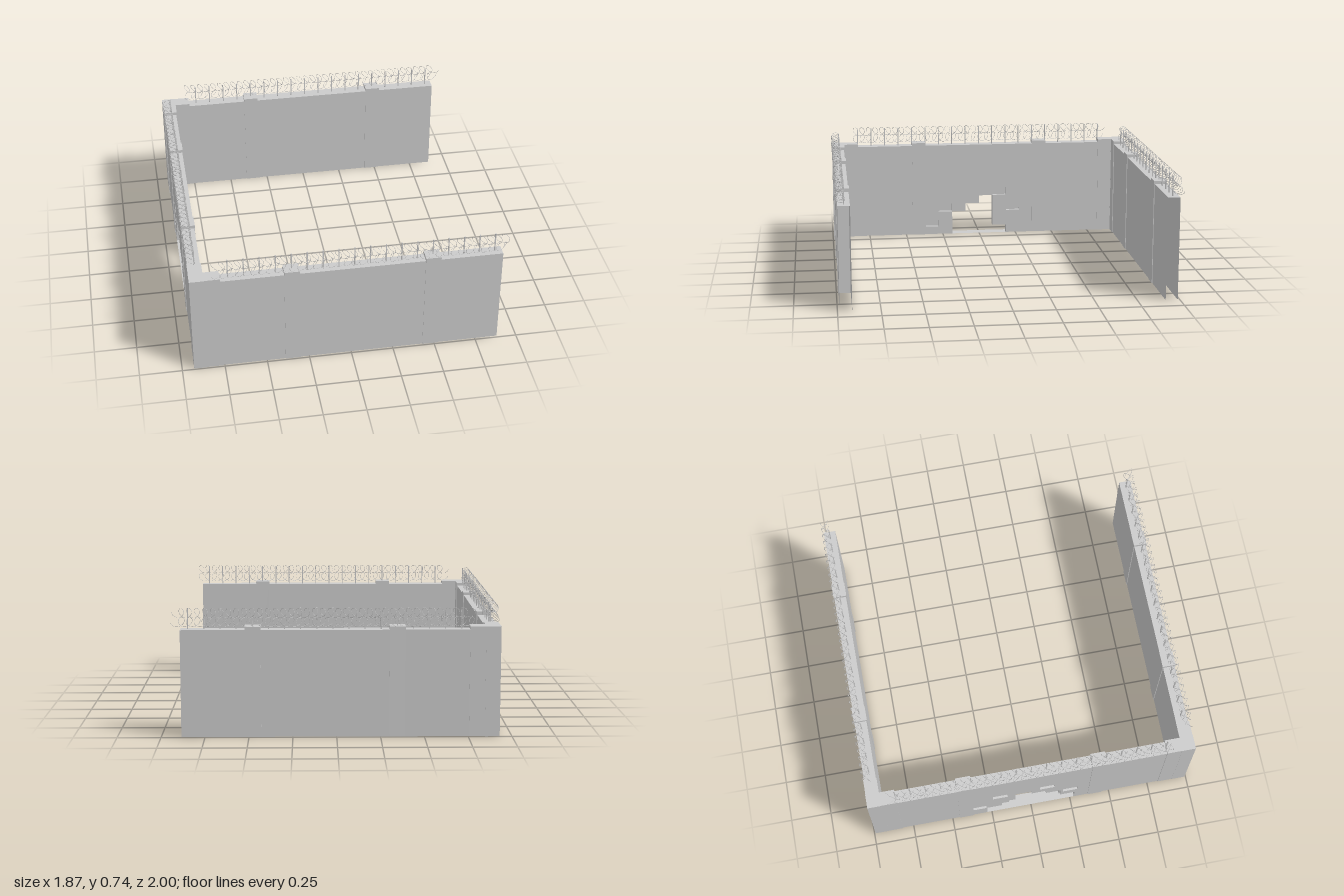
import * as THREE from 'three';

const mat = new THREE.MeshStandardMaterial({ color: 0xcccccc, side: THREE.DoubleSide });
const H = 0.617, CAP = 0.636;          // wall and pillar heights
const IN = -0.85, MID = -0.89, OUT = -0.925; // planes of the end wall

function add(parent, name, geo) {
  const m = new THREE.Mesh(geo, mat);
  m.name = name;
  parent.add(m);
  return m;
}

// Box standing on the ground, without the listed faces (0 +x, 1 -x, 2 top, 3 bottom, 4 +z, 5 -z)
function shell(x0, x1, h, z0, z1, drop = [3]) {
  const g = new THREE.BoxGeometry(x1 - x0, h, z1 - z0);
  const idx = Array.from(g.index.array).filter((_, i) => !drop.includes(Math.floor(i / 6)));
  g.setIndex(idx);
  g.clearGroups();
  return g.translate((x0 + x1) / 2, h / 2, (z0 + z1) / 2);
}

const path = (pts, C = THREE.Path) => new C(pts.map(p => new THREE.Vector2(...p)));
const brick = ([z, y]) => [[z, y], [z + 0.092, y], [z + 0.092, y + 0.053], [z, y + 0.053]];

// Flat sheet drawn in (z, y) and placed at x
function sheet(shape, x) {
  return new THREE.ShapeGeometry(shape).rotateY(-Math.PI / 2).translate(x, 0, 0);
}

// Lining of a hole: a closed (z, y) outline stretched from x0 to x1
function lining(pts, x0, x1) {
  const pos = [];
  pts.forEach(([z, y], i) => {
    const [w, v] = pts[(i + 1) % pts.length];
    pos.push(x0, y, z, x1, y, z, x1, v, w, x0, y, z, x1, v, w, x0, v, w);
  });
  const g = new THREE.BufferGeometry();
  g.setAttribute('position', new THREE.Float32BufferAttribute(pos, 3));
  g.computeVertexNormals();
  return g;
}

// One face of the broken wall with its stepped gap and missing bricks
function brokenFace(parent, name, gap, bricks, x, depthX) {
  const shape = path([[-0.915, 0], ...gap.slice().reverse(), [0.915, 0], [0.915, H], [-0.915, H]], THREE.Shape);
  bricks.forEach(b => {
    const pts = brick(b);
    shape.holes.push(path(pts));
    add(parent, name + 'BrickSides', lining(pts, x, depthX));
    add(parent, name + 'BrickBack', sheet(path(pts, THREE.Shape), depthX));
  });
  add(parent, name, sheet(shape, x));
  add(parent, name + 'GapLining', lining(gap, x, MID));
}

// Looping wire, each turn tilted across the line of the fence
class Coil extends THREE.Curve {
  constructor(length, turns, radius, tilt) {
    super();
    Object.assign(this, { length, turns, radius, tilt });
  }
  getPoint(t, target = new THREE.Vector3()) {
    const a = t * this.turns * Math.PI * 2, r = this.radius;
    return target.set((t - 0.5) * (this.length - 2 * r) + r * Math.cos(a), r * Math.sin(a), this.tilt * r * Math.cos(a));
  }
  getPointAt(t, target) { return this.getPoint(t, target); }
  getTangentAt(t, target) { return this.getTangent(t, target); }
}

// Two rows of coiled wire on posts; local +z is the inner side
function wireFence(length, posts) {
  const g = new THREE.Group();
  g.name = 'wireFence';
  const turns = Math.round(length / 0.0456);
  [0.661, 0.713].forEach((y, i) => {
    const c = new Coil(length, turns, 0.026, i ? 1 : -1);
    add(g, 'wireCoil', new THREE.TubeGeometry(c, turns * 16, 0.0012, 4)).position.y = y;
  });
  for (let i = 0; i < posts; i++) {
    const p = add(g, 'fencePost', new THREE.BoxGeometry(0.006, 0.125, 0.006));
    p.position.set((i - (posts - 1) / 2) * 0.0912, 0.675, 0.022);
  }
  return g;
}

export function createModel() {
  const model = new THREE.Group();
  model.name = 'walledYard';

  // Side walls, hollow and open at the free end, with corner pillars
  for (const s of [1, -1]) {
    const span = (a, b) => (s > 0 ? [a, b] : [-b, -a]);
    const side = new THREE.Group();
    side.name = s > 0 ? 'frontWall' : 'backWall';
    model.add(side);
    add(side, 'wallPanel', shell(-0.85, 0.885, H, ...span(0.915, 0.987), [0, 1, 3]));
    for (const x of [-0.8, -0.345, 0.475])
      add(side, 'pilaster', shell(x - 0.045, x + 0.045, CAP, ...span(0.911, 0.991)));
    add(side, 'cornerPillar', shell(-0.93, -0.845, CAP, ...span(0.91, 0.993)));
    const f = wireFence(1.735, 18);
    f.position.set(0.067, 0, s * 0.972);
    if (s > 0) f.rotation.y = Math.PI;
    side.add(f);
  }

  // Broken end wall
  const end = new THREE.Group();
  end.name = 'brokenWall';
  model.add(end);
  const innerGap = [[0.185, 0], [0.185, 0.156], [0.092, 0.156], [0.092, 0.21], [0, 0.21], [0, 0.263],
    [-0.092, 0.263], [-0.092, 0.053], [-0.185, 0.053], [-0.185, 0]];
  const outerGap = [[0.277, 0], [0.277, 0.107], [0.185, 0.107], [0.185, 0.21], [0.092, 0.21], [0.092, 0.263],
    [0, 0.263], [0, 0.31], [-0.14, 0.31], [-0.14, 0.16], [-0.185, 0.16], [-0.185, 0.107], [-0.277, 0.107], [-0.277, 0]];
  brokenFace(end, 'innerFace', innerGap,
    [[0.186, 0.156], [0.278, 0.053], [-0.185, 0.264], [-0.278, 0.156]], IN, IN - 0.025);
  brokenFace(end, 'outerFace', outerGap,
    [[0.05, 0.32], [-0.24, 0.29], [0.2, 0.17], [-0.375, 0.107]], OUT, OUT + 0.025);
  // Ledge between the two gap outlines
  add(end, 'gapLedge', sheet(path([...outerGap, ...innerGap.slice().reverse()], THREE.Shape), MID));
  add(end, 'wallTop', shell(OUT, IN, H, -0.915, 0.915, [0, 1, 3, 4, 5]));
  for (const z of [-0.865, -0.41, 0.41, 0.865])
    add(end, 'pilaster', shell(OUT - 0.004, IN + 0.004, CAP, z - 0.045, z + 0.045));
  const f = wireFence(1.74, 19);
  f.position.x = -0.907;
  f.rotation.y = Math.PI / 2;
  end.add(f);

  return model;
}
